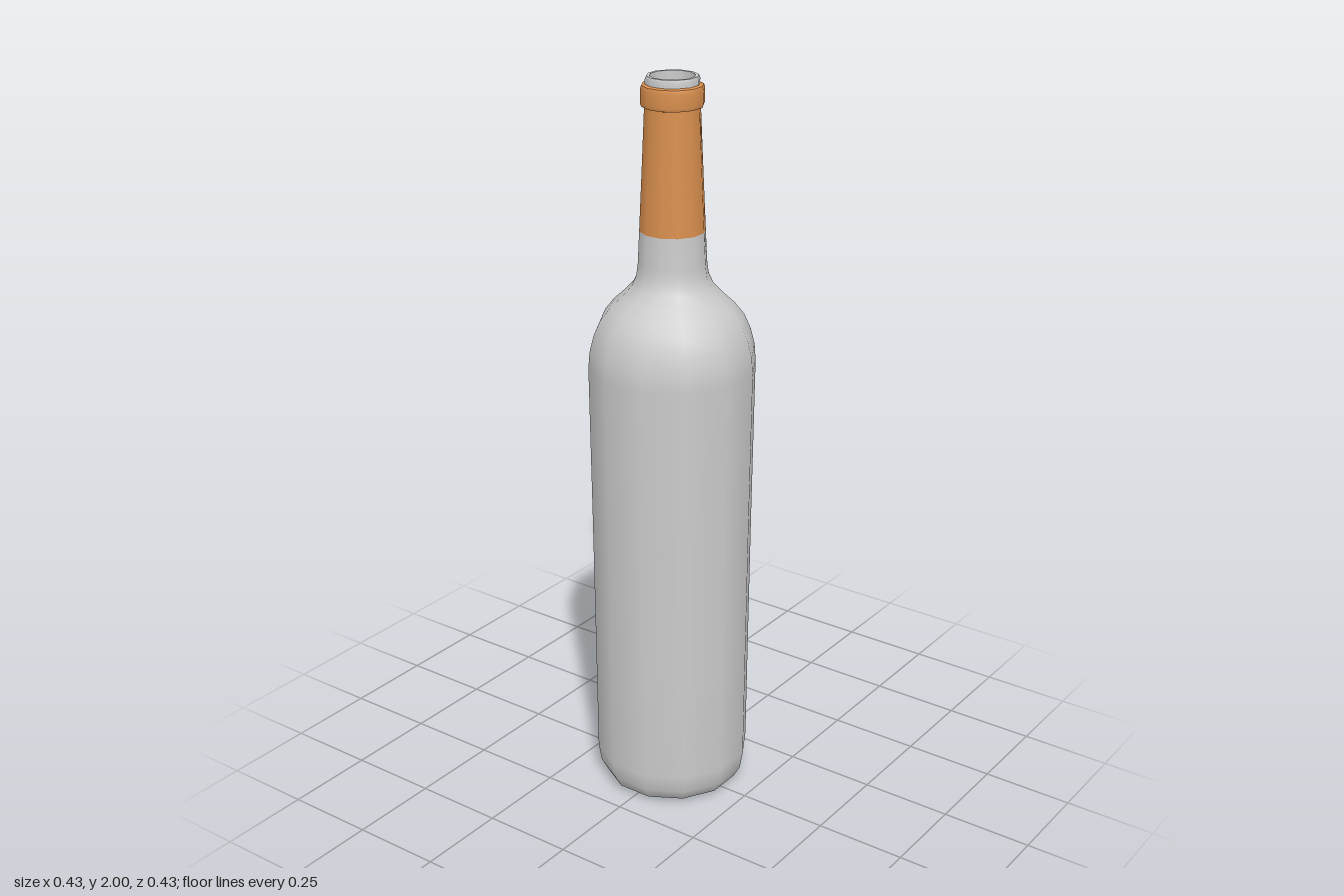
import * as THREE from 'three';

const SIDES = 12;
const FLAT = Math.cos(Math.PI / SIDES); // profiles give the flat-to-centre distance

const glass = new THREE.MeshStandardMaterial({ color: 0xcccccc });
const foil = new THREE.MeshStandardMaterial({ color: 0xd98f4e });

// Twelve-sided lathe with flats facing front, back and sides
function turned(name, profile, material) {
  const points = profile.map(([r, y]) => new THREE.Vector2(r / FLAT, y));
  const geometry = new THREE.LatheGeometry(points, SIDES, Math.PI / SIDES);
  const mesh = new THREE.Mesh(geometry, material);
  mesh.name = name;
  return mesh;
}

export function createModel() {
  const bottle = new THREE.Group();
  bottle.name = 'bottle';

  // Domed hollow under the base, then the rounded heel, body, shoulder and neck
  bottle.add(turned('body', [
    [0, 0.1], [0.035, 0.093], [0.065, 0.07], [0.085, 0.035], [0.105, 0.012], [0.13, 0.003],
    [0.155, 0.004], [0.18, 0.018], [0.197, 0.05], [0.205, 0.1],
    [0.207, 0.4], [0.21, 0.8], [0.2145, 1.24],
    [0.211, 1.285], [0.2, 1.33], [0.183, 1.37], [0.158, 1.403], [0.127, 1.433],
    [0.103, 1.46], [0.091, 1.488], [0.087, 1.52], [0.083, 1.605],
  ], glass));

  // Foil sleeve round the neck
  bottle.add(turned('foilSleeve', [[0.083, 1.605], [0.076, 1.76], [0.069, 1.925]], foil));

  // Foil collar band with its lower and upper edges
  bottle.add(turned('collarUnderside', [[0.068, 1.922], [0.076, 1.924]], foil));
  bottle.add(turned('collar', [[0.076, 1.924], [0.079, 1.932], [0.079, 1.968], [0.076, 1.977]], foil));
  bottle.add(turned('collarTop', [[0.076, 1.977], [0.066, 1.98]], foil));

  // Glass lip, rim and bore
  bottle.add(turned('lip', [[0.067, 1.975], [0.067, 1.992], [0.064, 2]], glass));
  bottle.add(turned('rim', [[0.064, 2], [0.056, 2]], glass));
  bottle.add(turned('bore', [[0.056, 2], [0.055, 1.88]], glass));
  bottle.add(turned('boreFloor', [[0.055, 1.88], [0, 1.88]], glass));

  return bottle;
}
